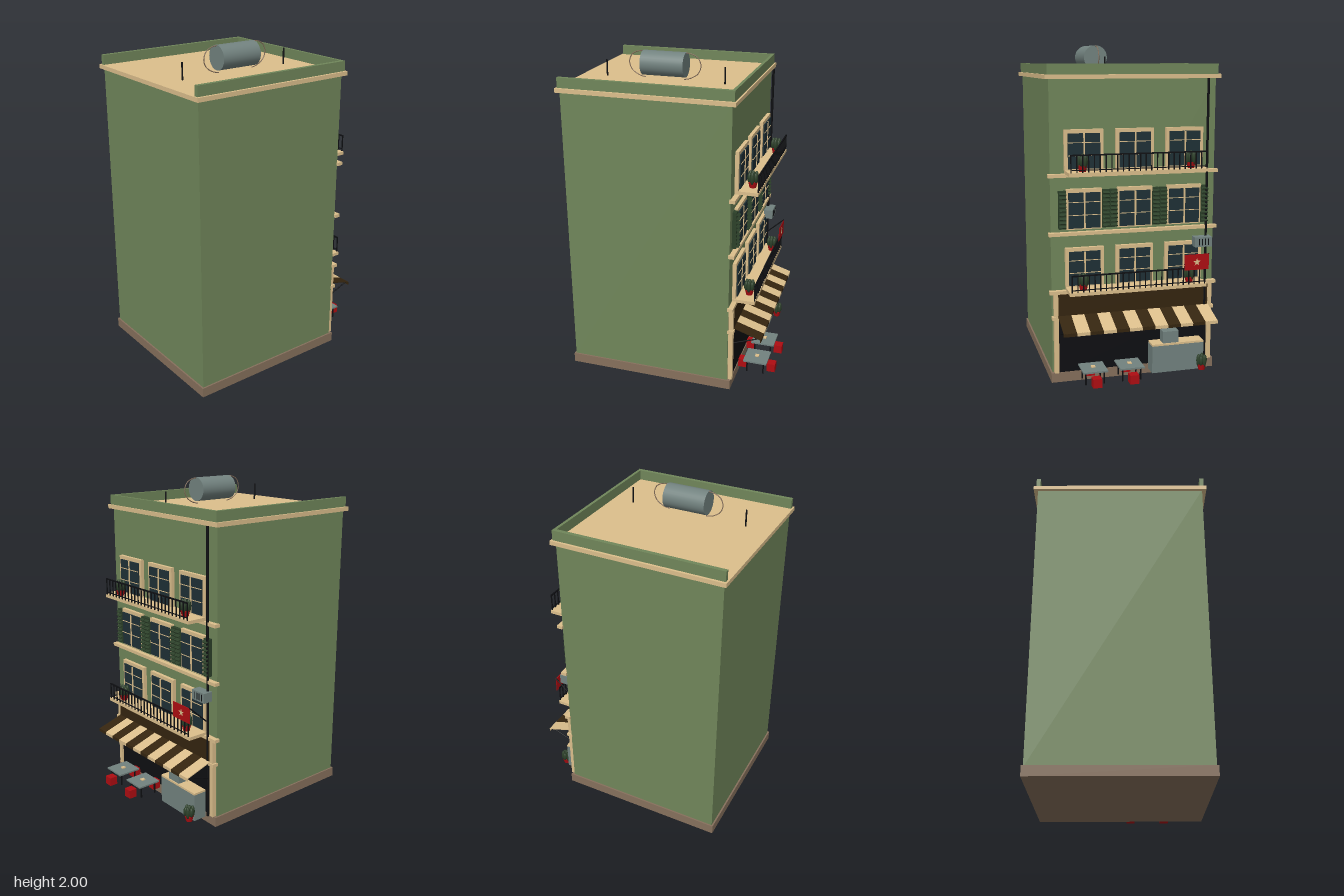
import * as THREE from 'three';

export function createModel() {
  const root = new THREE.Group();
  root.name = 'townhouseWithCafe';

  const mat = (name, color) => {
    const m = new THREE.MeshStandardMaterial({ color });
    m.name = name;
    return m;
  };
  const wall = mat('wallGreen', 0x70865a);
  const tan = mat('sandTrim', 0xdcbf8c);
  const brown = mat('plinthBrown', 0x86705c);
  const darkBrown = mat('awningBrown', 0x35250f);
  const black = mat('ironBlack', 0x0e0f12);
  const grey = mat('metalGrey', 0x72827f);
  const red = mat('paintRed', 0xae0d12);
  const glass = mat('windowGlass', 0x1e3036);
  const leaf = mat('darkGreen', 0x2c4029);

  const add = (name, geo, material, parent = root) => {
    const m = new THREE.Mesh(geo, material);
    m.name = name;
    parent.add(m);
    return m;
  };
  // Box given by its limits on each axis
  const box = (name, material, x0, x1, y0, y1, z0, z1, parent = root) => {
    const m = add(name, new THREE.BoxGeometry(x1 - x0, y1 - y0, z1 - z0), material, parent);
    m.position.set((x0 + x1) / 2, (y0 + y1) / 2, (z0 + z1) / 2);
    return m;
  };
  const tube = (name, material, pts, r, parent = root) => {
    const path = new THREE.CatmullRomCurve3(pts.map(p => new THREE.Vector3(...p)));
    return add(name, new THREE.TubeGeometry(path, pts.length > 2 ? 24 : 1, r, 8), material, parent);
  };
  const group = (name, x = 0, y = 0, z = 0) => {
    const g = new THREE.Group();
    g.name = name;
    g.position.set(x, y, z);
    root.add(g);
    return g;
  };

  // Building shell and roof
  box('walls', wall, -0.505, 0.505, 0.05, 1.81, -0.39, 0.63);
  box('plinth', brown, -0.515, 0.515, 0, 0.06, -0.41, 0.64);
  box('roofSlab', tan, -0.53, 0.53, 1.805, 1.83, -0.415, 0.65);
  box('backParapet', wall, -0.515, 0.515, 1.83, 1.89, -0.405, -0.387);
  for (const s of [-1, 1]) {
    const p = box('sideParapet', wall, -0.0125, 0.0125, 1.83, 1.89, -0.387, 0.64);
    p.position.x = s * 0.5025;
  }

  // Water tank, its pipes and the roof masts
  const tank = add('waterTank', new THREE.CylinderGeometry(0.073, 0.073, 0.265, 32), grey);
  tank.rotation.x = Math.PI / 2;
  tank.position.set(0.142, 1.927, 0.118);
  for (const s of [-1, 1]) {
    tube('tankPipe', brown, [[0.12, 1.997], [0.165, 1.992], [0.205, 1.97], [0.222, 1.925], [0.205, 1.88], [0.16, 1.85], [0.12, 1.84]]
      .map(([d, y]) => [0.142, y, 0.118 + s * d]), 0.003);
    const mast = add('roofMast', new THREE.CylinderGeometry(0.005, 0.005, 0.1, 8), black);
    mast.position.set(0.142, 1.88, 0.118 + s * 0.368);
  }

  // Ledges between the storeys
  for (const y of [0.56, 0.91, 1.255]) box('ledge', tan, -0.52, 0.52, y - 0.01, y + 0.01, -0.42, -0.385);

  // Three rows of windows; the middle row has louvred shutters
  [[0.59, 0.825], [0.935, 1.175], [1.285, 1.52]].forEach(([y0, y1], row) => {
    for (const cx of [-0.307, 0, 0.307]) {
      const g = group('window', cx, y0, 0);
      const h = y1 - y0;
      const w = row === 1 ? 0.107 : 0.116;
      box('windowFrame', tan, -w, w, 0, h, -0.412, -0.38, g);
      box('windowPane', glass, -0.095, 0.095, 0.008, h - 0.022, -0.42, -0.40, g);
      box('windowPost', tan, -0.005, 0.005, 0.008, h - 0.022, -0.424, -0.41, g);
      for (const f of [0.36, 0.68])
        box('windowBar', tan, -0.095, 0.095, h * f - 0.002, h * f + 0.002, -0.423, -0.41, g);
      if (row !== 1) continue;
      for (const s of [-1, 1]) {
        const sx = s * 0.13;
        box('shutter', leaf, sx - 0.022, sx + 0.022, 0.005, h - 0.01, -0.415, -0.385, g);
        for (let i = 0; i < 9; i++) {
          const slat = box('shutterSlat', leaf, sx - 0.02, sx + 0.02, 0, 0.006, -0.432, -0.41, g);
          slat.position.y = 0.02 + i * (h - 0.045) / 8;
          slat.rotation.x = -0.5;
        }
      }
    }
  });

  // Red pot with a cluster of cactus stems
  const cactus = (x, y, z) => {
    const g = group('pottedCactus', x, y, z);
    add('pot', new THREE.CylinderGeometry(0.028, 0.02, 0.036, 12), red, g).position.y = 0.018;
    for (let i = 0; i < 6; i++) {
      const a = i * Math.PI / 3;
      const stem = add('cactusStem', new THREE.SphereGeometry(0.014, 8, 6), leaf, g);
      stem.scale.y = i % 2 ? 2.2 : 2.8;
      stem.position.set(Math.cos(a) * 0.021, 0.06, Math.sin(a) * 0.021);
    }
    const mid = add('cactusStem', new THREE.SphereGeometry(0.015, 8, 6), leaf, g);
    mid.scale.y = 2.7;
    mid.position.y = 0.064;
  };

  // Balconies with iron railings
  for (const y of [0.565, 1.265]) {
    const g = group('balcony', 0, y, 0);
    box('balconySlab', tan, -0.42, 0.42, 0, 0.02, -0.528, -0.39, g);
    box('handrail', black, -0.41, 0.41, 0.116, 0.124, -0.529, -0.521, g);
    box('lowerRail', black, -0.41, 0.41, 0.032, 0.037, -0.527, -0.523, g);
    const n = 24;
    for (let i = 0; i <= n; i++) {
      const x = -0.407 + 0.814 * i / n;
      box('railBar', black, x - 0.003, x + 0.003, 0.02, 0.12, -0.528, -0.522, g);
    }
    for (const x of [-0.325, 0.33]) cactus(x, y + 0.02, -0.475);
  }

  // Shop front
  box('shopOpening', black, -0.475, 0.475, 0.05, 0.42, -0.405, -0.385);
  box('signBoard', darkBrown, -0.47, 0.47, 0.415, 0.55, -0.418, -0.385);
  for (const s of [-1, 1]) {
    const p = box('shopPilaster', tan, -0.014, 0.014, 0.06, 0.55, -0.418, -0.385);
    p.position.x = s * 0.482;
    const c = box('pilasterCap', tan, -0.022, 0.022, 0.392, 0.412, -0.424, -0.385);
    c.position.x = s * 0.485;
    tube('awningArm', black, [[s * 0.455, 0.30, -0.41], [s * 0.455, 0.362, -0.575]], 0.004);
  }

  // Striped awning with a short hanging edge
  const drop = 0.053, reach = 0.167, stripe = 0.945 / 12;
  for (let i = 0; i < 12; i++) {
    const x = -0.473 + (i + 0.5) * stripe;
    const m = i % 2 ? darkBrown : tan;
    const top = add('awningStripe', new THREE.BoxGeometry(stripe, 0.005, Math.hypot(drop, reach)), m);
    top.rotation.x = -Math.atan2(drop, reach);
    top.position.set(x, 0.415 - drop / 2, -0.418 - reach / 2);
    box('awningEdge', m, x - stripe / 2, x + stripe / 2, 0.345, 0.364, -0.588, -0.583);
  }

  // Counter with a machine on it
  box('counter', grey, -0.42, -0.09, 0.03, 0.2, -0.495, -0.41);
  box('counterTop', tan, -0.42, -0.09, 0.2, 0.212, -0.495, -0.41);
  box('counterMachine', grey, -0.26, -0.16, 0.212, 0.285, -0.488, -0.43);

  // Tables and stools
  for (const x of [0.065, 0.288]) {
    const g = group('cafeTable', x, 0, -0.53);
    box('tableTop', grey, -0.074, 0.074, 0.115, 0.125, -0.075, 0.075, g);
    box('tableDish', tan, -0.012, 0.012, 0.125, 0.132, -0.012, 0.012, g);
    for (const sx of [-1, 1]) for (const sz of [-1, 1])
      box('tableLeg', black, sx * 0.055 - 0.004, sx * 0.055 + 0.004, 0.04, 0.115, sz * 0.052 - 0.004, sz * 0.052 + 0.004, g);
    for (const z of [-0.095, 0.09])
      box('stool', red, -0.027, 0.027, 0.043, 0.097, z - 0.026, z + 0.026, g);
  }
  cactus(-0.4, 0.035, -0.52);

  // Drain pipe and air conditioner
  tube('drainPipe', black, [[-0.45, 0.05, -0.415], [-0.45, 1.805, -0.415]], 0.008);
  box('airConditioner', grey, -0.475, -0.365, 0.795, 0.855, -0.463, -0.405);
  for (let i = 0; i < 4; i++)
    box('coolerVent', black, -0.455 + i * 0.02, -0.449 + i * 0.02, 0.805, 0.845, -0.465, -0.462);

  // Flag on a slanted pole
  tube('flagPole', black, [[-0.428, 0.66, -0.41], [-0.428, 0.775, -0.535]], 0.004);
  box('flag', red, -0.428, -0.275, 0.675, 0.77, -0.534, -0.53);
  const star = new THREE.Shape();
  for (let i = 0; i < 10; i++) {
    const a = Math.PI / 2 + i * Math.PI / 5, r = i % 2 ? 0.01 : 0.025;
    star[i ? 'lineTo' : 'moveTo'](Math.cos(a) * r, Math.sin(a) * r);
  }
  add('flagStar', new THREE.ExtrudeGeometry(star, { depth: 0.006, bevelEnabled: false }), tan)
    .position.set(-0.352, 0.722, -0.535);

  return root;
}
